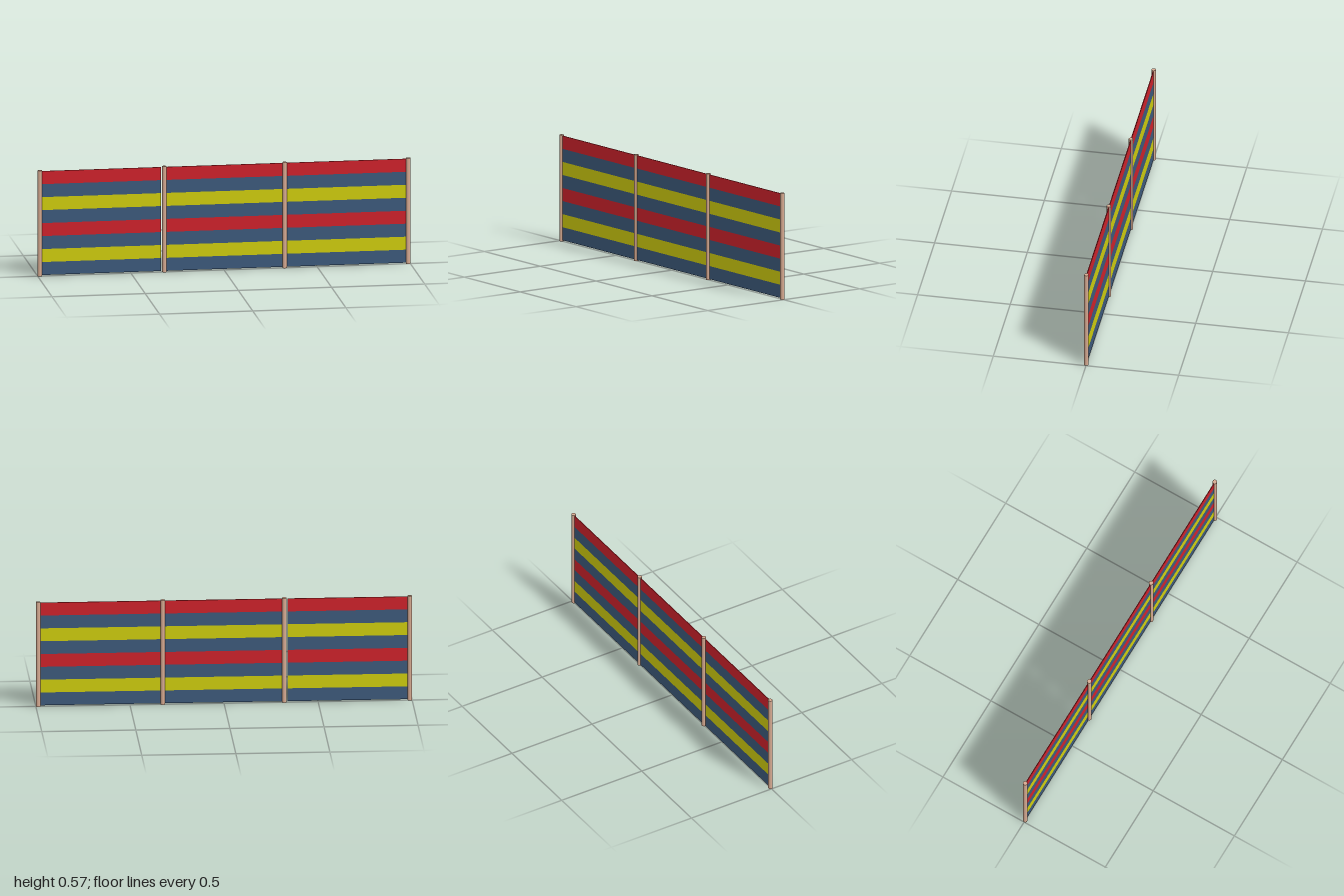
import * as THREE from 'three';

const mat = (name, color) => {
  const m = new THREE.MeshStandardMaterial({ color });
  m.name = name;
  return m;
};

export function createModel() {
  const group = new THREE.Group();
  group.name = 'windbreak';

  const wood = mat('wood', 0xd8ab92);
  const red = mat('red', 0xcf222b);
  const blue = mat('blue', 0x3d5a7c);
  const yellow = mat('yellow', 0xcfcd0e);

  // Round wooden poles
  const poleGeometry = new THREE.CylinderGeometry(0.012, 0.012, 0.575, 16);
  [-0.988, -0.32, 0.325, 0.988].forEach((x, i) => {
    const pole = new THREE.Mesh(poleGeometry, wood);
    pole.name = `pole${i + 1}`;
    pole.position.set(x, 0.2875, 0);
    group.add(pole);
  });

  // Three fabric panels, each of eight horizontal stripes from the bottom up
  const stripes = [blue, yellow, blue, red, blue, yellow, blue, red];
  const bottom = 0.006, stripeHeight = 0.0706;
  const panels = [[-0.988, -0.338], [-0.32, 0.325], [0.325, 0.985]];
  panels.forEach(([x0, x1], p) => {
    const panel = new THREE.Group();
    panel.name = `fabricPanel${p + 1}`;
    const geometry = new THREE.BoxGeometry(x1 - x0, stripeHeight, 0.004);
    stripes.forEach((material, i) => {
      const stripe = new THREE.Mesh(geometry, material);
      stripe.name = `${material.name}Stripe${i + 1}`;
      stripe.position.set((x0 + x1) / 2, bottom + (i + 0.5) * stripeHeight, 0);
      panel.add(stripe);
    });
    group.add(panel);
  });

  return group;
}
